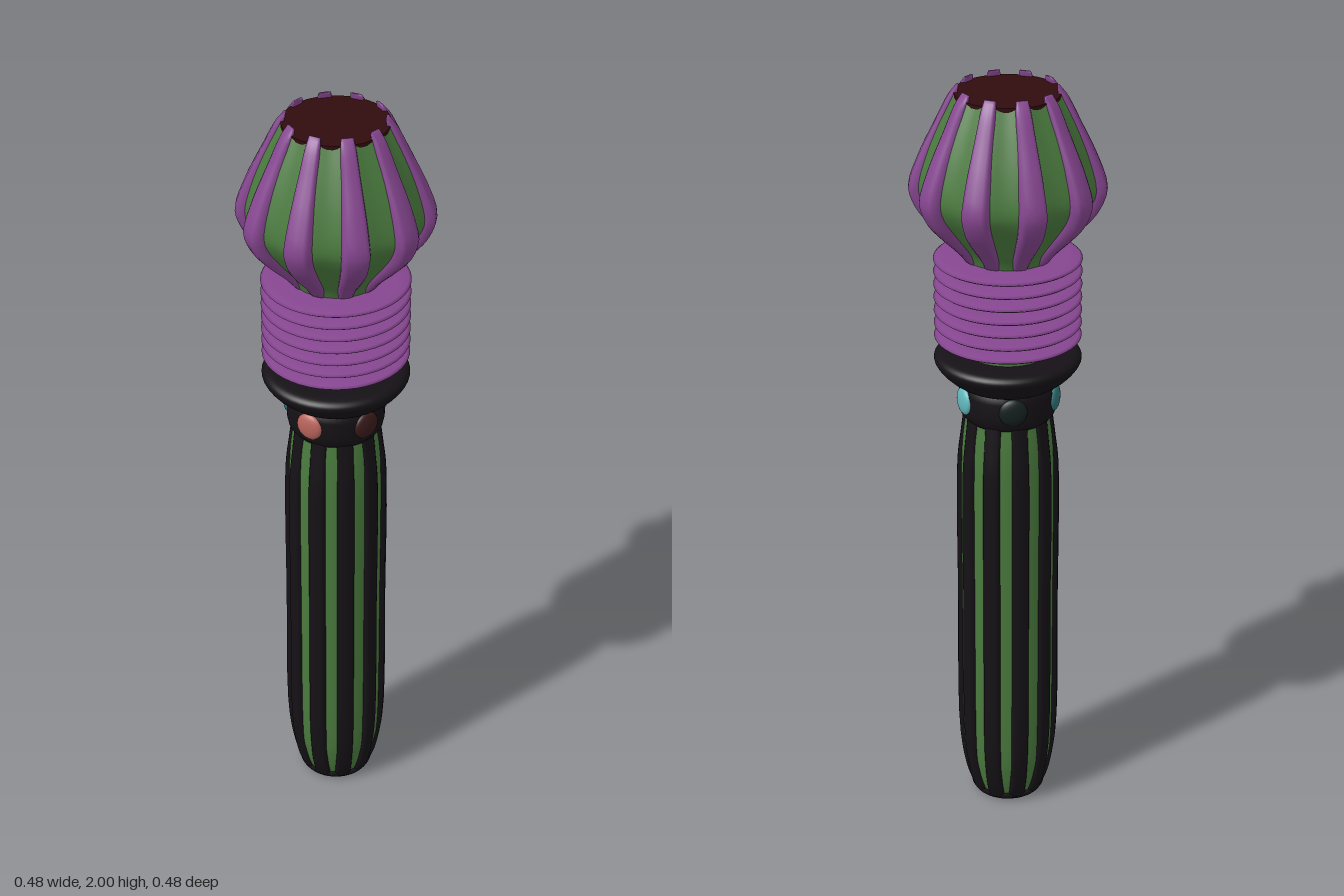
import * as THREE from 'three';

const COUNT = 10, STEP = Math.PI * 2 / COUNT, START = 8.5 * Math.PI / 180;
const mat = (color, side = THREE.FrontSide) =>
  new THREE.MeshStandardMaterial({ color, side, roughness: 0.7 });
const vecs = (pts) => pts.map(([r, y]) => new THREE.Vector2(r, y));

// Smooth open curve through [radius, y] points, ready for a lathe
const smooth = (pts, n = 32) => new THREE.SplineCurve(vecs(pts)).getPoints(n);

// Rib running up the +x side; rows are [y, inner radius, outer radius, half width]
function ribGeometry(rows) {
  const curve = (k) => new THREE.CatmullRomCurve3(
    rows.map((r) => new THREE.Vector3(r[k], r[0], 0)), false, 'centripetal');
  const outer = curve(2), n = 28, pos = [], idx = [];
  // Cross-section: [depth 0..1, width -1..1], rounded at the outer corners
  const section = [[0, -0.9], [0.55, -1], [0.85, -0.88], [0.97, -0.6], [1, 0],
    [0.97, 0.6], [0.85, 0.88], [0.55, 1], [0, 0.9]];
  const m = section.length;
  const at = (y, k) => {
    let i = 0;
    while (i < rows.length - 2 && y > rows[i + 1][0]) i++;
    const t = (y - rows[i][0]) / (rows[i + 1][0] - rows[i][0]);
    return THREE.MathUtils.lerp(rows[i][k], rows[i + 1][k], THREE.MathUtils.clamp(t, 0, 1));
  };
  for (let j = 0; j <= n; j++) {
    const p = outer.getPoint(j / n), rin = at(p.y, 1), w = at(p.y, 3);
    for (const [d, s] of section) pos.push(rin + (p.x - rin) * d, p.y, -s * w);
  }
  for (let j = 0; j < n; j++) for (let i = 0; i < m; i++) {
    const a = j * m + i, b = j * m + (i + 1) % m;
    idx.push(a, a + m, b, b, a + m, b + m);
  }
  // End caps
  for (let i = 1; i < m - 1; i++) {
    idx.push(0, i, i + 1);
    idx.push(n * m, n * m + i + 1, n * m + i);
  }
  const g = new THREE.BufferGeometry();
  g.setAttribute('position', new THREE.Float32BufferAttribute(pos, 3));
  g.setIndex(idx);
  g.computeVertexNormals();
  return g;
}

export function createModel() {
  const model = new THREE.Group();
  const green = mat(0x4a7a3e, THREE.DoubleSide), purple = mat(0x864690, THREE.DoubleSide);
  const black = mat(0x151116, THREE.DoubleSide), darkRed = mat(0x300c0e);

  const add = (name, geometry, material, parent = model) => {
    const mesh = new THREE.Mesh(geometry, material);
    mesh.name = name;
    parent.add(mesh);
    return mesh;
  };
  const ribs = (name, rows, material) => {
    const group = new THREE.Group(), geometry = ribGeometry(rows);
    group.name = name;
    for (let i = 0; i < COUNT; i++)
      add(name + 'Rib', geometry, material, group).rotation.y = -(START + i * STEP);
    model.add(group);
  };

  // Handle: green core, black ribs and a rounded base
  add('handleCore', new THREE.LatheGeometry(smooth([[0.085, 0.01], [0.107, 0.08], [0.12, 0.2],
    [0.121, 0.6], [0.12, 1.0], [0.108, 1.14]]), 60), green);
  ribs('handle', [[0.01, 0.06, 0.095, 0.022], [0.06, 0.08, 0.112, 0.023], [0.18, 0.09, 0.13, 0.024],
    [0.6, 0.09, 0.132, 0.024], [1.0, 0.09, 0.13, 0.024], [1.08, 0.09, 0.121, 0.023],
    [1.15, 0.09, 0.112, 0.022]], black);
  add('handleBase', new THREE.LatheGeometry(vecs([[0, 0], [0.08, 0], [0.092, 0.006],
    [0.098, 0.016], [0.097, 0.022], [0, 0.024]]), 48), black);

  // Band that carries the buttons
  add('buttonBand', new THREE.LatheGeometry(vecs([[0, 1.13], [0.108, 1.13], [0.12, 1.145],
    [0.124, 1.165], [0.124, 1.21], [0.118, 1.225], [0.11, 1.24], [0, 1.24]]), 48), black);

  // Five flattened round buttons
  const buttons = new THREE.Group();
  buttons.name = 'buttons';
  [0x62b8bd, 0x3a1a1a, 0xb8645c, 0x2f7478, 0x14211f].forEach((color, i) => {
    const a = (18 + 72 * i) * Math.PI / 180;
    const b = add('button', new THREE.SphereGeometry(0.036, 24, 16), mat(color), buttons);
    b.scale.x = 0.4;
    b.position.set(Math.cos(a) * 0.12, 1.19, Math.sin(a) * 0.12);
    b.rotation.y = -a;
  });
  model.add(buttons);

  // Flared collar
  add('collar', new THREE.LatheGeometry(smooth([[0.11, 1.222], [0.135, 1.235], [0.165, 1.26],
    [0.185, 1.288], [0.18, 1.305], [0.155, 1.312], [0.09, 1.312]]), 48), black);

  // Neck with thin tapered rings
  add('neck', new THREE.CylinderGeometry(0.11, 0.11, 0.29, 48, 1, true), green).position.y = 1.445;
  const rings = new THREE.Group();
  rings.name = 'neckRings';
  const ringGeometry = new THREE.LatheGeometry(vecs([[0.1, -0.009], [0.15, -0.008], [0.178, -0.005],
    [0.185, 0], [0.178, 0.005], [0.15, 0.008], [0.1, 0.009]]), 48);
  for (let i = 0; i < 7; i++)
    add('neckRing', ringGeometry, purple, rings).position.y = 1.355 + i * 0.0342;
  model.add(rings);

  // Head: bulb that dips slightly between the ribs
  const bulb = new THREE.LatheGeometry(smooth([[0.108, 1.56], [0.125, 1.6], [0.172, 1.66],
    [0.207, 1.71], [0.218, 1.755], [0.198, 1.83], [0.165, 1.91], [0.128, 1.985]]), 100);
  const p = bulb.attributes.position;
  for (let i = 0; i < p.count; i++) {
    const x = p.getX(i), z = p.getZ(i);
    const lift = THREE.MathUtils.smoothstep(p.getY(i), 1.58, 1.7);
    const k = 1 + 0.025 * lift * Math.cos(COUNT * (Math.atan2(z, x) - START));
    p.setXYZ(i, x * k, p.getY(i), z * k);
  }
  bulb.computeVertexNormals();
  add('headBulb', bulb, green);
  ribs('head', [[1.565, 0.09, 0.112, 0.018], [1.6, 0.1, 0.142, 0.022], [1.65, 0.14, 0.192, 0.028],
    [1.69, 0.17, 0.224, 0.032], [1.745, 0.19, 0.243, 0.035], [1.82, 0.17, 0.22, 0.031],
    [1.91, 0.14, 0.177, 0.024], [1.975, 0.122, 0.144, 0.019], [2.0, 0.118, 0.124, 0.015]], purple);

  // Dark lens set just below the rib tips
  add('headLens', new THREE.CylinderGeometry(0.13, 0.13, 0.01, 48), darkRed).position.y = 1.981;

  return model;
}
